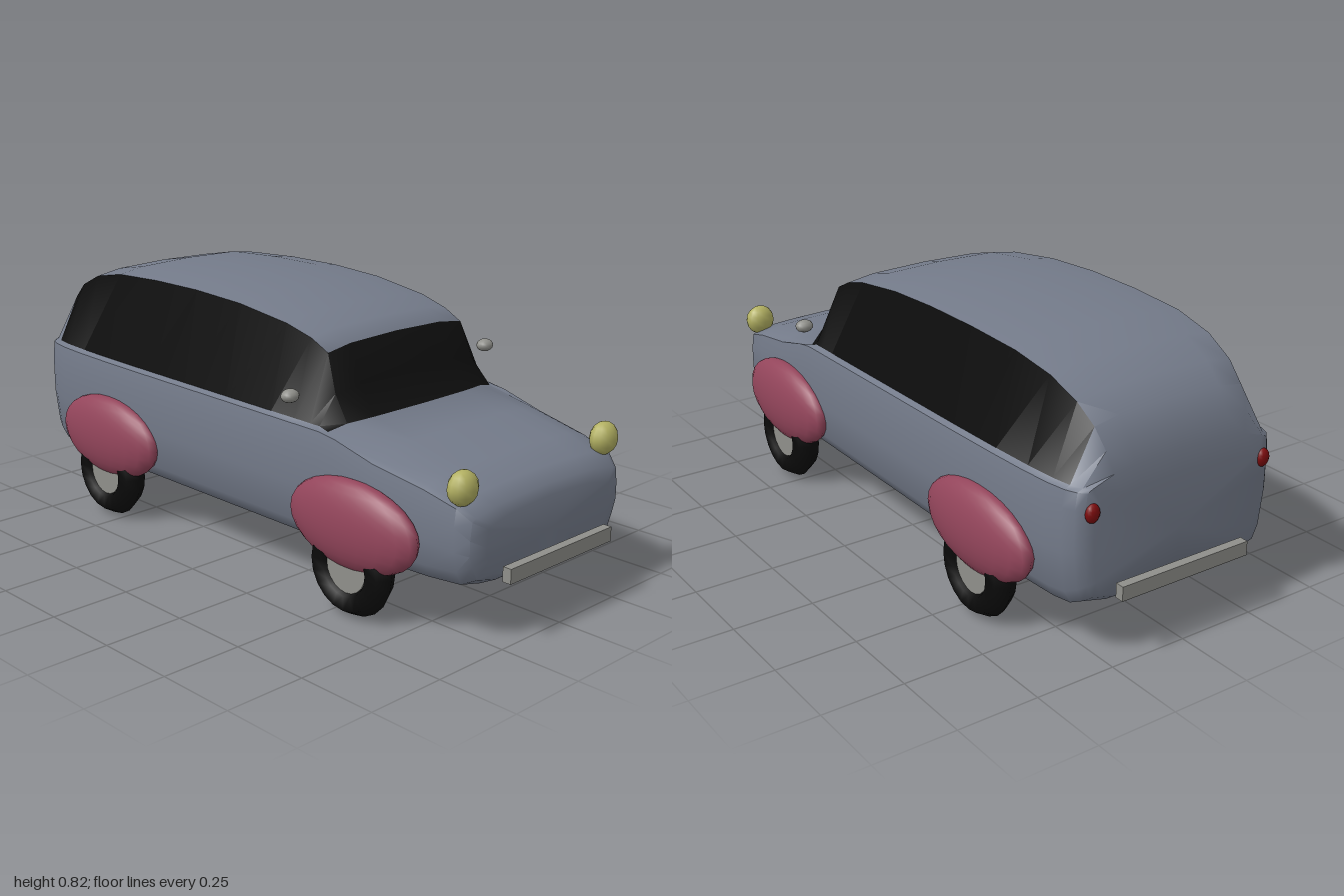
import * as THREE from 'three';
import { toCreasedNormals } from 'three/addons/utils/BufferGeometryUtils.js';

const mat = (name, color) => new THREE.MeshStandardMaterial({ name, color });

// Body stations, front to back: z, half width, roof height, half width at the window top
const STATIONS = [
  [0.952, 0.27, 0.365, 0.18],
  [0.94, 0.325, 0.395, 0.22],
  [0.90, 0.345, 0.428, 0.25],
  [0.80, 0.358, 0.457, 0.27],
  [0.62, 0.373, 0.49, 0.28],
  [0.48, 0.378, 0.527, 0.29],
  [0.415, 0.38, 0.615, 0.295],
  [0.365, 0.38, 0.725, 0.284],
  [0.30, 0.38, 0.757, 0.286],
  [0.20, 0.38, 0.784, 0.29],
  [0.00, 0.38, 0.811, 0.295],
  [-0.20, 0.38, 0.821, 0.297],
  [-0.40, 0.38, 0.82, 0.295],
  [-0.60, 0.378, 0.81, 0.29],
  [-0.74, 0.374, 0.783, 0.28],
  [-0.84, 0.367, 0.738, 0.268],
  [-0.90, 0.357, 0.687, 0.257],
  [-0.935, 0.342, 0.628, 0.245],
  [-0.953, 0.322, 0.56, 0.23],
  [-0.96, 0.295, 0.495, 0.2],
];
const WINDSCREEN = [5, 7];
const SIDE_GLASS = [5, 16];
// How far the windscreen stations sweep back at the corners
const BOW = { 5: 0.045, 6: 0.012 };

// Ring of points around one station, mirrored across x = 0
function ring([z, w, roof, xt], i) {
  const floor = 0.15 + 0.035 * Math.max(0, (Math.abs(z) - 0.87) / 0.085) ** 2;
  const belt = Math.min(0.508 - 0.008 * z, roof - 0.032);
  const windowTop = roof - Math.min(0.019, 0.3 * (roof - belt));
  const bow = BOW[i] ?? 0;
  const half = [
    [0, floor], [0.66 * w, floor], [0.9 * w, floor + 0.02], [0.96 * w, floor + 0.06],
    [w, (floor + belt) / 2], [w, belt - 0.05], [0.98 * w, belt],
    [0.93 * w, belt + 0.008], [xt, windowTop], [0.68 * xt, roof - 0.005], [0, roof],
  ].map(([x, y], k) => [x, y, k > 6 ? z - bow * (x / 0.35) ** 2 : z]);
  return [...half, ...half.slice(1, -1).reverse().map(([x, y, d]) => [-x, y, d])];
}

// Lofted shell: group 0 is paint, group 1 is glass
function bodyGeometry() {
  const n = 20, last = STATIONS.length - 1;
  const points = STATIONS.flatMap(ring);
  const paint = [], glass = [];
  const within = (i, [a, b]) => i >= a && i < b;
  for (let i = 0; i < last; i++) {
    for (let j = 0; j < n; j++) {
      const a = i * n + j, b = i * n + (j + 1) % n, c = b + n, d = a + n;
      const band = j < 10 ? j : 19 - j;
      const isGlass = (band === 7 && within(i, SIDE_GLASS)) || (band > 7 && within(i, WINDSCREEN));
      (isGlass ? glass : paint).push(a, d, c, a, c, b);
    }
  }
  // Nose and tail caps
  const nose = points.push([0, 0.27, 0.955]) - 1;
  const tail = points.push([0, 0.33, -0.962]) - 1;
  for (let j = 0; j < n; j++) {
    const k = (j + 1) % n;
    paint.push(nose, j, k, tail, last * n + k, last * n + j);
  }
  const geo = new THREE.BufferGeometry();
  geo.setAttribute('position', new THREE.Float32BufferAttribute(points.flat(), 3));
  geo.setIndex([...paint, ...glass]);
  geo.addGroup(0, paint.length, 0);
  geo.addGroup(paint.length, glass.length, 1);
  return toCreasedNormals(geo, 0.9);
}

export function createModel() {
  const car = new THREE.Group();
  car.name = 'car';
  const paint = mat('bodyPaint', 0x747b8a);
  const glass = mat('darkGlass', 0x0d0d0d);
  const fenderPaint = mat('fenderPaint', 0x93455b);
  const rubber = mat('rubber', 0x0a0a0a);
  const metal = mat('metal', 0x8f8f8a);
  const lampYellow = mat('lampYellow', 0xb2b062);
  const lampRed = mat('lampRed', 0x7d0c0e);

  const add = (name, geo, material, x, y, z) => {
    const mesh = new THREE.Mesh(geo, material);
    mesh.name = name;
    mesh.position.set(x, y, z);
    car.add(mesh);
  };
  const ellipsoid = (rx, ry, rz, w = 12, h = 8) =>
    new THREE.SphereGeometry(1, w, h).scale(rx, ry, rz);

  add('body', bodyGeometry(), [paint, glass], 0, 0, 0);

  const fenderGeo = ellipsoid(0.062, 0.132, 0.245, 20, 14);
  const tireGeo = new THREE.TorusGeometry(0.105, 0.044, 6, 20).rotateY(Math.PI / 2);
  const hubGeo = new THREE.CylinderGeometry(0.075, 0.075, 0.056, 20).rotateZ(Math.PI / 2);
  const headlightGeo = ellipsoid(0.05, 0.05, 0.038);
  const mirrorGeo = ellipsoid(0.029, 0.02, 0.025);
  const tailLightGeo = ellipsoid(0.023, 0.028, 0.016);

  for (const [side, s] of [['left', 1], ['right', -1]]) {
    // Wheels under swollen fenders
    for (const [end, z] of [['Front', 0.565], ['Rear', -0.562]]) {
      add(`${side}${end}Fender`, fenderGeo, fenderPaint, s * 0.382, 0.27, z);
      add(`${side}${end}Tire`, tireGeo, rubber, s * 0.38, 0.149, z);
      add(`${side}${end}Hub`, hubGeo, metal, s * 0.38, 0.149, z);
    }
    // Lamps and mirrors
    add(`${side}Headlight`, headlightGeo, lampYellow, s * 0.31, 0.447, 0.897);
    add(`${side}Mirror`, mirrorGeo, metal, s * 0.42, 0.605, 0.353);
    add(`${side}TailLight`, tailLightGeo, lampRed, s * 0.302, 0.457, -0.957);
  }

  // Bumpers
  const bumperGeo = new THREE.BoxGeometry(0.45, 0.044, 0.028);
  add('frontBumper', bumperGeo, metal, 0, 0.202, 0.986);
  add('rearBumper', bumperGeo, metal, 0, 0.214, -0.986);

  return car;
}
